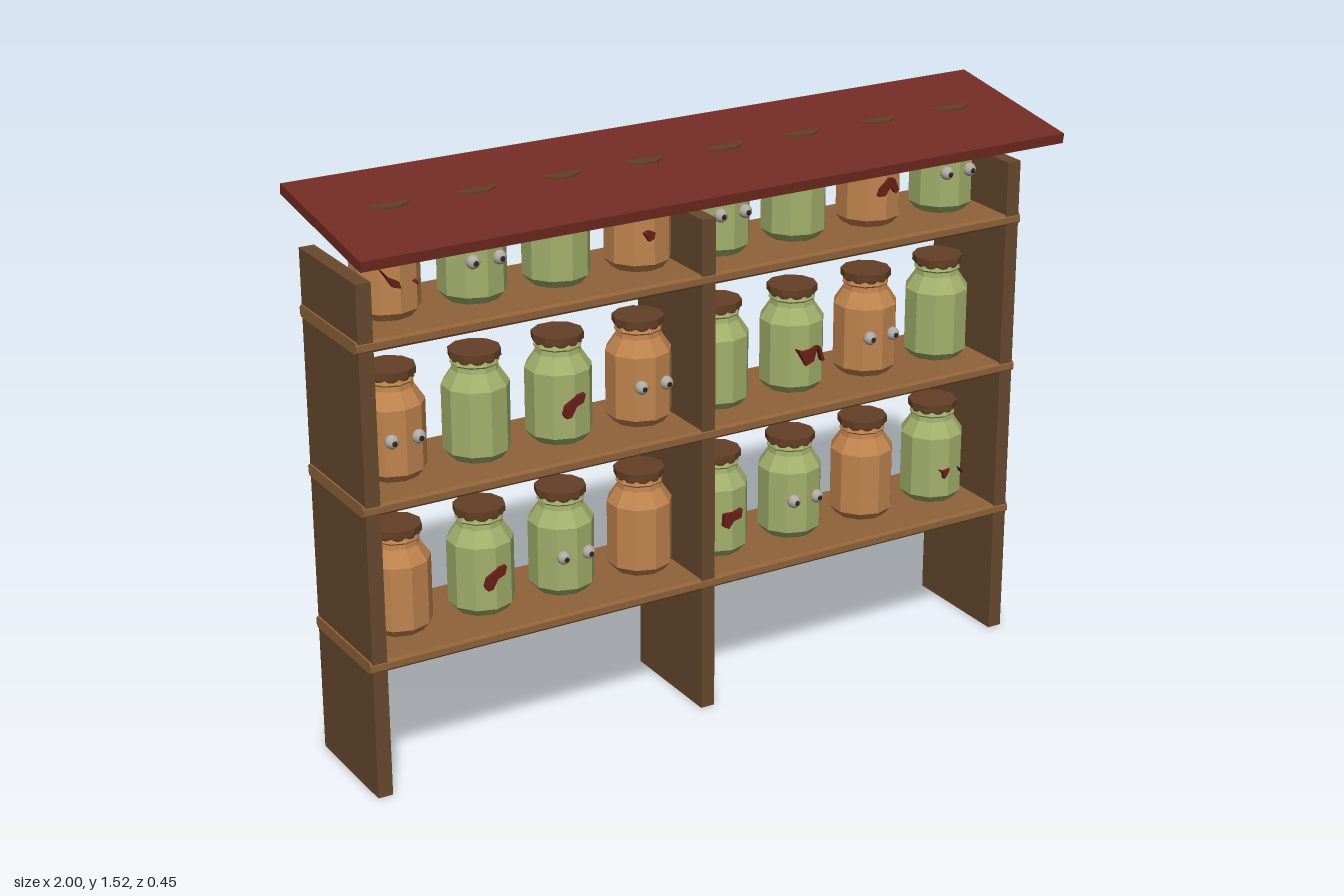
import * as THREE from 'three';

const mat = (name, color, flatShading = false) => {
  const m = new THREE.MeshStandardMaterial({ color, flatShading });
  m.name = name;
  return m;
};

export function createModel() {
  const root = new THREE.Group();
  root.name = 'jarShelf';
  const wood = mat('darkWood', 0x68492e);
  const plank = mat('lightWood', 0x8f6339);
  const roofRed = mat('roofRed', 0x732c23);
  const green = mat('greenGlass', 0xa3b06c, true);
  const orange = mat('orangeGlass', 0xc0844e, true);
  const lidBrown = mat('lidBrown', 0x643f26, true);
  const eyeGrey = mat('eyeGrey', 0xb0aaa2);
  const pupilDark = mat('pupilDark', 0x2c2522);
  const meat = mat('darkRed', 0x6a1f18);

  const add = (parent, name, geo, material, x = 0, y = 0, z = 0) => {
    const m = new THREE.Mesh(geo, material);
    m.name = name;
    m.position.set(x, y, z);
    parent.add(m);
    return m;
  };

  // Upright panels
  const post = new THREE.BoxGeometry(0.04, 1.355, 0.32);
  [-0.94, 0, 0.94].forEach((x) => add(root, 'upright', post, wood, x, 0.6775, -0.062));

  // Shelves with chamfered long edges
  const w = 0.162, h = 0.0155, c = 0.007;
  const section = new THREE.Shape([
    [-w + c, -h], [w - c, -h], [w, -h + c], [w, h - c],
    [w - c, h], [-w + c, h], [-w, h - c], [-w, -h + c],
  ].map(([a, b]) => new THREE.Vector2(a, b)));
  const shelf = new THREE.ExtrudeGeometry(section, { depth: 1.93, bevelEnabled: false });
  shelf.translate(0, 0, -0.965).rotateY(Math.PI / 2);
  const levels = [0.359, 0.777, 1.195];
  levels.forEach((y) => add(root, 'shelf', shelf, plank, 0, y, -0.062));

  // Sloping roof, high at the back
  add(root, 'roof', new THREE.BoxGeometry(2, 0.027, 0.449), roofRed, 0, 1.475, 0).rotation.x = 0.151;

  // Ten-sided jar and lid
  const profile = [[0, 0], [0.068, 0], [0.0865, 0.022], [0.0865, 0.192], [0.06, 0.232],
    [0.058, 0.245], [0.063, 0.25], [0.058, 0.262]];
  const jarGeo = new THREE.LatheGeometry(profile.map(([r, y]) => new THREE.Vector2(r, y)), 10);
  const lidGeo = new THREE.CylinderGeometry(0.067, 0.067, 0.018, 10).rotateY(Math.PI / 10);
  const rimGeo = new THREE.CylinderGeometry(0.062, 0.06, 0.01, 10).rotateY(Math.PI / 10);

  // Eyes
  const eyeGeo = new THREE.SphereGeometry(0.018, 12, 8);
  const pupilGeo = new THREE.SphereGeometry(0.007, 8, 6).scale(1, 1, 0.5);
  const addEyes = (jar) => [-1, 1].forEach((s) => {
    add(jar, 'eye', eyeGeo, eyeGrey, s * 0.036, 0.116, 0.08);
    add(jar, 'pupil', pupilGeo, pupilDark, s * 0.036, 0.116, 0.097);
  });

  // Irregular scraps pressed against the front of the glass
  const scraps = {
    wedge: [[[-0.05, 0.14], [-0.03, 0.118], [-0.005, 0.105], [0, 0.087], [-0.022, 0.094]],
      [[0.036, 0.095], [0.044, 0.1], [0.044, 0.088]]],
    blob: [[[-0.03, 0.108], [-0.016, 0.115], [-0.001, 0.108], [-0.004, 0.092], [-0.018, 0.087]]],
    hook: [[[-0.026, 0.09], [-0.02, 0.11], [0.004, 0.137], [0.022, 0.132], [0.036, 0.1],
      [0.026, 0.092], [0.01, 0.112], [-0.008, 0.09]]],
    slug: [[[-0.032, 0.09], [-0.026, 0.113], [0.005, 0.138], [0.028, 0.138], [0.022, 0.116],
      [0.002, 0.108], [-0.012, 0.082], [-0.026, 0.08]]],
    tooth: [[[-0.038, 0.13], [-0.018, 0.122], [0.022, 0.13], [0.012, 0.092], [-0.012, 0.082], [-0.024, 0.105]],
      [[0.024, 0.13], [0.032, 0.128], [0.045, 0.09], [0.038, 0.086]]],
    flag: [[[-0.026, 0.13], [0.028, 0.136], [0.024, 0.112], [0.002, 0.108], [-0.014, 0.088], [-0.028, 0.096]]],
    crumbs: [[[-0.03, 0.104], [-0.016, 0.1], [0, 0.106], [-0.008, 0.088], [-0.018, 0.078], [-0.02, 0.092]],
      [[0.034, 0.1], [0.046, 0.09], [0.042, 0.084]]],
  };
  const addScrap = (jar, kind) => scraps[kind].forEach((pts) => {
    const shape = new THREE.Shape(pts.map(([x, y]) => new THREE.Vector2(x, y)));
    const geo = new THREE.ExtrudeGeometry(shape, { depth: 0.027, bevelEnabled: false });
    add(jar, 'scrap', geo, meat, 0, 0, 0.066);
  });

  // Contents of each row, bottom to top, from right to left of the model
  const rows = [
    ['', 'slug', 'eyes', '', 'flag', 'eyes', '', 'crumbs'],
    ['eyes', '', 'slug', 'eyes', '', 'tooth', 'eyes', ''],
    ['wedge', 'eyes', '', 'blob', 'eyes', '', 'hook', 'eyes'],
  ];
  rows.forEach((row, r) => row.forEach((content, i) => {
    const jar = new THREE.Group();
    jar.name = 'jar';
    jar.position.set(-0.81 + i * 0.2325, levels[r] + 0.016, -0.063);
    add(jar, 'glass', jarGeo, i % 3 === 0 ? orange : green);
    add(jar, 'lidRim', rimGeo, lidBrown, 0, 0.261, 0);
    add(jar, 'lid', lidGeo, lidBrown, 0, 0.274, 0);
    if (content === 'eyes') addEyes(jar);
    else if (content) addScrap(jar, content);
    root.add(jar);
  }));

  return root;
}
